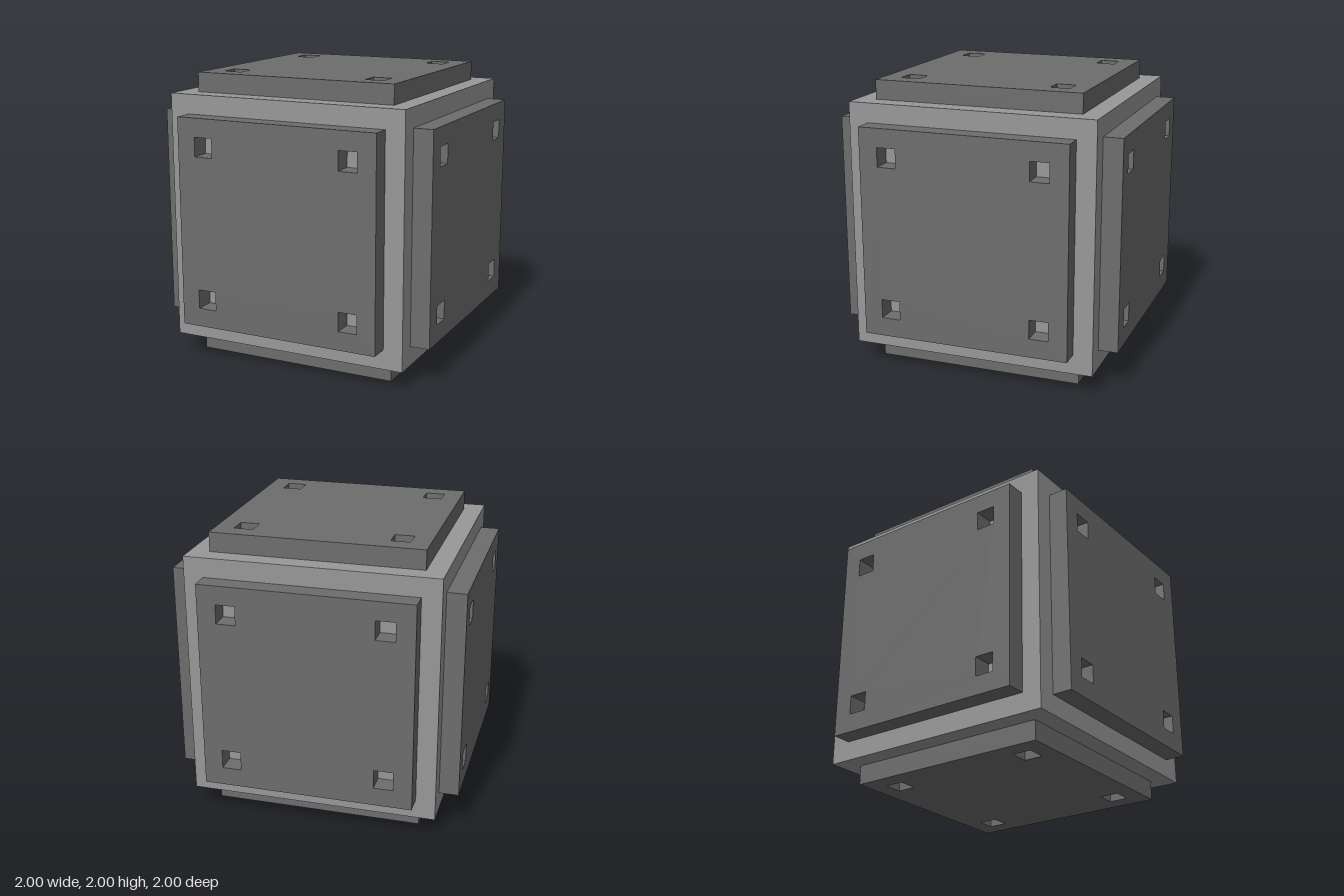
import * as THREE from 'three';

const CORE = 0.865;   // half size of the inner cube
const PLATE = 0.73;   // half size of each face plate
const HOLE_MIN = 0.467, HOLE_MAX = 0.6;

// Closed rectangle added to a shape or path
function rect(path, x0, y0, x1, y1) {
  path.moveTo(x0, y0);
  path.lineTo(x1, y0);
  path.lineTo(x1, y1);
  path.lineTo(x0, y1);
  path.closePath();
  return path;
}

export function createModel() {
  const coreGrey = new THREE.MeshStandardMaterial({ color: 0x989898 });
  coreGrey.name = 'light grey';
  const plateGrey = new THREE.MeshStandardMaterial({ color: 0x6d6d6d });
  plateGrey.name = 'dark grey';

  const model = new THREE.Group();
  model.name = 'platedCube';

  // Inner cube
  const core = new THREE.Mesh(new THREE.BoxGeometry(2 * CORE, 2 * CORE, 2 * CORE), coreGrey);
  core.name = 'core';
  core.position.y = 1;
  model.add(core);

  // Square plate with a square bolt hole near each corner
  const shape = rect(new THREE.Shape(), -PLATE, -PLATE, PLATE, PLATE);
  const mid = (HOLE_MIN + HOLE_MAX) / 2, half = (HOLE_MAX - HOLE_MIN) / 2;
  for (const sx of [-1, 1]) {
    for (const sy of [-1, 1]) {
      const x = sx * mid, y = sy * mid;
      shape.holes.push(rect(new THREE.Path(), x - half, y - half, x + half, y + half));
    }
  }
  const plateGeometry = new THREE.ExtrudeGeometry(shape, { depth: 1 - CORE, bevelEnabled: false });
  plateGeometry.translate(0, 0, CORE);

  // One plate on each side of the cube
  const q = Math.PI / 2;
  const sides = {
    frontPlate: [0, 0], backPlate: [0, 2 * q], leftPlate: [0, q],
    rightPlate: [0, -q], topPlate: [-q, 0], bottomPlate: [q, 0],
  };
  for (const [name, [rx, ry]] of Object.entries(sides)) {
    const plate = new THREE.Mesh(plateGeometry, plateGrey);
    plate.name = name;
    plate.rotation.set(rx, ry, 0);
    plate.position.y = 1;
    model.add(plate);
  }
  return model;
}
